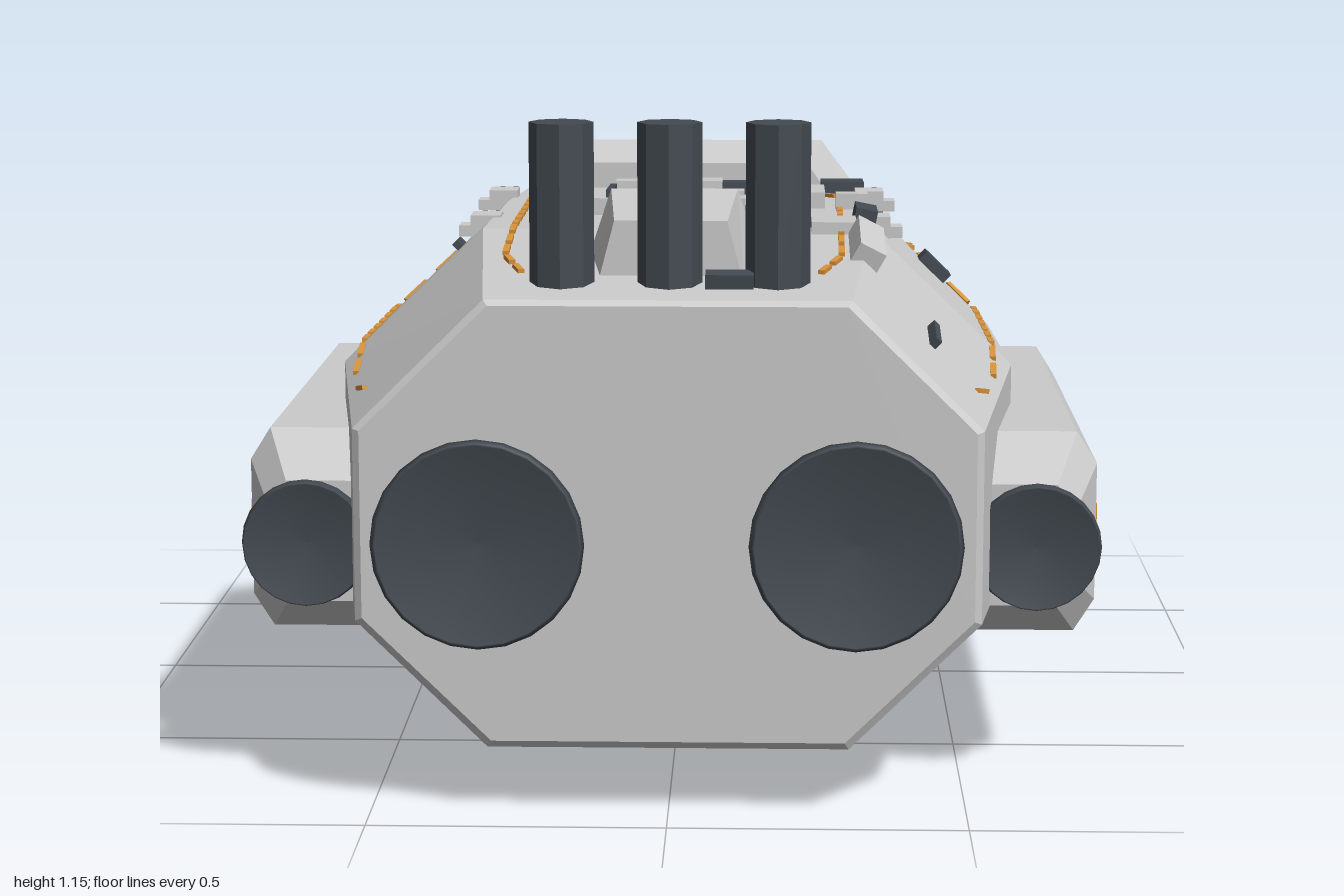
import * as THREE from 'three';

const mat = (name, color) => {
  const m = new THREE.MeshStandardMaterial({ color });
  m.name = name;
  return m;
};

// Skin through matching loops, ordered front to back, each anticlockwise seen from the front
function loft(loops) {
  const v = [];
  const tri = (...pts) => pts.forEach((p) => v.push(...p));
  const n = loops[0].length;
  for (let i = 0; i < loops.length - 1; i++) {
    for (let j = 0; j < n; j++) {
      const k = (j + 1) % n, a = loops[i], b = loops[i + 1];
      tri(a[j], b[j], b[k]);
      tri(a[j], b[k], a[k]);
    }
  }
  const first = loops[0], last = loops[loops.length - 1];
  for (let j = 1; j < n - 1; j++) {
    tri(first[0], first[j], first[j + 1]);
    tri(last[0], last[j + 1], last[j]);
  }
  const g = new THREE.BufferGeometry();
  g.setAttribute('position', new THREE.Float32BufferAttribute(v, 3));
  g.computeVertexNormals();
  return g;
}

// Wide octagon section
const FX = 0.58, FY = 0.43;
const octagon = (z, w, h, cy) => [[1, -FY], [1, FY], [FX, 1], [-FX, 1], [-1, FY], [-1, -FY], [-FX, -1], [FX, -1]]
  .map(([x, y]) => [x * w, cy + y * h, z]);

// Hull stations: z, half width, half height, centre height
const hull = [[0.935, 0.508, 0.367, 0.5], [0.925, 0.52, 0.378, 0.498], [0.4, 0.6, 0.425, 0.5],
  [-0.1, 0.59, 0.42, 0.495], [-0.48, 0.57, 0.41, 0.487], [-0.8, 0.465, 0.338, 0.478]];

function station(z) {
  let i = 0;
  while (i < hull.length - 2 && z < hull[i + 1][0]) i++;
  const a = hull[i], b = hull[i + 1];
  const t = THREE.MathUtils.clamp((z - a[0]) / (b[0] - a[0]), 0, 1);
  return a.map((q, k) => q + (b[k] - q) * t);
}

// Height of the upper hull skin
function skinY(x, z) {
  const [, w, h, cy] = station(z);
  const t = Math.max(0, (Math.abs(x) / w - FX) / (1 - FX));
  return cy + h * (1 - Math.min(t, 1) * (1 - FY));
}

export function createModel() {
  const model = new THREE.Group();
  const grey = mat('hull grey', 0xcbcbcb), dark = mat('dark metal', 0x434a51);
  const orange = mat('amber', 0xd8933c), blue = mat('light blue', 0x62a9d6);

  const add = (name, geo, m, x = 0, y = 0, z = 0) => {
    const mesh = new THREE.Mesh(geo, m);
    mesh.name = name;
    mesh.position.set(x, y, z);
    model.add(mesh);
    return mesh;
  };
  const box = (name, m, w, h, d, x, y, z) => add(name, new THREE.BoxGeometry(w, h, d), m, x, y, z);
  // Box laid on the upper skin and tilted with it
  const onSkin = (name, m, x, z, w, d, h) => {
    const e = 0.01;
    const b = box(name, m, w, h, d, x, skinY(x, z) + h * 0.3, z);
    b.rotation.z = Math.atan((skinY(x + e, z) - skinY(x - e, z)) / (2 * e));
    b.rotation.x = -Math.atan((skinY(x, z + e) - skinY(x, z - e)) / (2 * e));
    return b;
  };

  // Main body and rear collar
  add('hull', loft(hull.map((s) => octagon(...s))), grey);
  add('rearCollar', loft([[-0.79, 0.42, 0.435, 0.48], [-0.89, 0.475, 0.475, 0.48], [-0.915, 0.46, 0.455, 0.48]]
    .map((s) => octagon(...s))), grey);
  add('rearPlate', loft([octagon(-0.91, 0.335, 0.345, 0.48), octagon(-0.918, 0.335, 0.345, 0.48)]), orange);
  for (let i = 0; i < 8; i++) {
    const a = (i + 0.5) * Math.PI / 4;
    box('collarPeg', dark, 0.048, 0.045, 0.1, 0.444 * Math.cos(a), 0.48 + 0.444 * Math.sin(a), -0.95);
  }

  // Bells with a shallow dish
  const bell = (name, r, depth, x, y, z) => {
    const pts = [[r * 0.75, 0], [r * 0.82, depth * 0.4], [r, depth * 0.85], [r * 0.97, depth], [r * 0.95, depth],
      [r * 0.5, depth - r * 0.1], [0, depth - r * 0.13]].map((p) => new THREE.Vector2(...p));
    add(name, new THREE.LatheGeometry(pts, 24), dark, x, y, z).rotation.x = Math.PI / 2;
  };

  for (const s of [1, -1]) {
    bell('mainBell', 0.176, 0.07, s * 0.31, 0.48, 0.93);
    bell('podBell', 0.11, 0.11, s * 0.62, 0.435, 0.69);

    // Side pod: z, outer x, bevel, bottom, top
    const pod = [[0.77, 0.685, 0.03, 0.33, 0.54], [0.67, 0.73, 0.035, 0.262, 0.613],
      [-0.22, 0.73, 0.035, 0.262, 0.613], [-0.305, 0.64, 0.03, 0.3, 0.575]].map(([z, x, b, y0, y1]) => {
      const loop = [[0.45, y0], [x - b, y0], [x, y0 + b * 1.6], [x, y1 - b * 1.6], [x - b, y1], [0.45, y1]]
        .map(([px, py]) => [s * px, py, z]);
      return s > 0 ? loop : loop.reverse();
    });
    add('sidePod', loft(pod), grey);

    // Pod panels and small lights
    for (let i = 0; i < 4; i++) {
      const z = 0.585 - i * 0.213;
      box('podPanel', orange, 0.006, 0.112, 0.143, s * 0.73, 0.427, z);
      for (let k = 0; k < 5; k++) {
        box('podLight', blue, 0.006, 0.026, 0.016, s * 0.732, 0.403, z + 0.02 - k * 0.028);
      }
    }
    for (const z of [-0.22, -0.25, -0.28]) box('podLight', blue, 0.006, 0.026, 0.016, s * (0.73 + (z + 0.22) * 1.06), 0.403, z);
    for (const z of [-0.31, -0.37, -0.405, -0.43, -0.46]) {
      box('hullLight', blue, 0.008, 0.026, 0.016, s * station(z)[1], 0.403, z);
    }

    // Dashed lines along the roof and the shoulders
    const lines = [[[0.25, 0.75], [0.29, 0.62], [0.3, -0.2], [0.23, -0.31], [0.23, -0.45], [0.2, -0.69]],
      [[0.515, 0.76], [0.54, 0.7]], [[0.555, 0.6], [0.565, 0.4], [0.565, -0.19], [0.45, -0.31], [0.455, -0.45], [0.4, -0.69]]];
    for (const line of lines) {
      for (let i = 0; i < line.length - 1; i++) {
        const [p, q] = [line[i], line[i + 1]];
        const n = Math.max(1, Math.round(Math.hypot(q[0] - p[0], q[1] - p[1]) / 0.085));
        const at = (t) => {
          const x = s * (p[0] + (q[0] - p[0]) * t), z = p[1] + (q[1] - p[1]) * t;
          return new THREE.Vector3(x, skinY(x, z) + 0.003, z);
        };
        for (let k = 0; k < n; k++) {
          const a = at((k + 0.15) / n), b = at((k + 0.8) / n);
          const dash = box('dash', orange, 0.011, 0.008, a.distanceTo(b), 0, 0, 0);
          dash.position.copy(a).lerp(b, 0.5);
          dash.lookAt(b);
        }
      }
    }

    // Twin-barrel turrets
    for (const z of [-0.22, 0.18]) {
      box('turretBase', grey, 0.1, 0.02, 0.05, s * 0.36, 0.895, z);
      box('turretTop', grey, 0.055, 0.04, 0.065, s * 0.36, 0.905, z);
      for (const o of [-0.013, 0.013]) box('turretBarrel', dark, 0.01, 0.01, 0.09, s * 0.36 + o, 0.912, z - 0.065);
    }
  }

  // Stacks, bridge and masts
  for (const x of [-0.18, 0, 0.18]) {
    add('stack', new THREE.CylinderGeometry(0.054, 0.054, 0.285, 8).toNonIndexed(), dark, x, 1.0125, 0.8).geometry.computeVertexNormals();
  }
  add('bridge', loft([[0.755, 0.125, 0.095, 0.985], [0.55, 0.158, 0.11, 1.015], [0.4, 0.125, 0.105, 0.965]]
    .map(([z, b, t, y]) => [[b, 0.87, z], [t, y, z], [-t, y, z], [-b, 0.87, z]])), grey);
  box('bridgeBar', grey, 0.31, 0.03, 0.015, 0, 0.965, 0.392);
  for (const [z, y] of [[0.48, 1.1], [0.2, 1.08]]) {
    add('mast', new THREE.CylinderGeometry(0.004, 0.004, y - 0.91, 6), dark, 0, (y + 0.91) / 2, z);
  }

  // Roof fittings: x, z, width, depth
  const lightBlocks = [[-0.24, -0.71, 0.09, 0.14], [-0.06, -0.67, 0.08, 0.09], [-0.02, -0.54, 0.09, 0.05],
    [-0.12, -0.46, 0.06, 0.07], [0.17, -0.32, 0.1, 0.16], [0.03, -0.29, 0.08, 0.11], [0.07, -0.18, 0.09, 0.07],
    [0.01, -0.04, 0.06, 0.06], [0.24, -0.05, 0.06, 0.16], [0.1, 0, 0.09, 0.08], [0.08, 0.11, 0.07, 0.12],
    [-0.06, 0.24, 0.05, 0.09], [0.28, 0.38, 0.08, 0.12], [-0.06, 0.6, 0.06, 0.09], [0.335, 0.56, 0.05, 0.16],
    [-0.24, -0.23, 0.04, 0.07], [0.16, -0.52, 0.07, 0.06], [0.32, 0.03, 0.06, 0.04]];
  lightBlocks.forEach(([x, z, w, d], i) => onSkin('roofBlock', grey, x, z, w, d, 0.022 + (i % 3) * 0.008));
  const darkBlocks = [[0.31, -0.37, 0.085, 0.115], [0.1, -0.33, 0.065, 0.075], [-0.2, 0.12, 0.075, 0.09],
    [0.48, -0.07, 0.065, 0.07], [0.34, 0.22, 0.04, 0.12], [0.09, 0.29, 0.05, 0.085], [0.1, 0.83, 0.08, 0.04],
    [-0.29, -0.57, 0.025, 0.03], [0.17, -0.45, 0.025, 0.05], [0.2, 0.3, 0.03, 0.04]];
  darkBlocks.forEach(([x, z, w, d]) => onSkin('darkBlock', dark, x, z, w, d, 0.03));
  const bars = [[-0.22, -0.33, 0.18], [-0.15, -0.25, 0.19], [-0.07, -0.25, 0.17], [0.1, -0.7, 0.13], [0.16, -0.66, 0.1],
    [-0.425, 0.03, 0.07], [0.445, 0.7, 0.09], [-0.175, 0.65, 0.2], [-0.06, 0.7, 0.09], [0.02, -0.12, 0.1],
    [0.07, 0.2, 0.12], [0.21, 0.08, 0.1], [-0.13, 0.03, 0.1], [0.24, -0.5, 0.08]];
  bars.forEach(([x, z, d]) => onSkin('roofBar', dark, x, z, 0.013, d, 0.022));
  [[-0.05, -0.37, 0.045], [-0.2, 0.39, 0.05], [-0.16, 0.46, 0.04], [-0.295, -0.16, 0.04]]
    .forEach(([x, z, d]) => onSkin('roofLight', blue, x, z, 0.02, d, 0.009));
  for (let i = 0; i < 6; i++) {
    onSkin('roofMarker', orange, -0.2 + (i % 2) * 0.015, 0.21 + Math.floor(i / 2) * 0.022, 0.01, 0.012, 0.009);
  }

  // Belly fittings
  [[0.1, 0.57, 0.075, 0.13, grey], [-0.01, 0.4, 0.06, 0.06, grey], [0.22, -0.3, 0.06, 0.12, grey], [0.32, 0.14, 0.03, 0.14, dark]]
    .forEach(([x, z, w, d, m]) => box('bellyBlock', m, w, 0.03, d, x, 0.077, z));

  return model;
}
